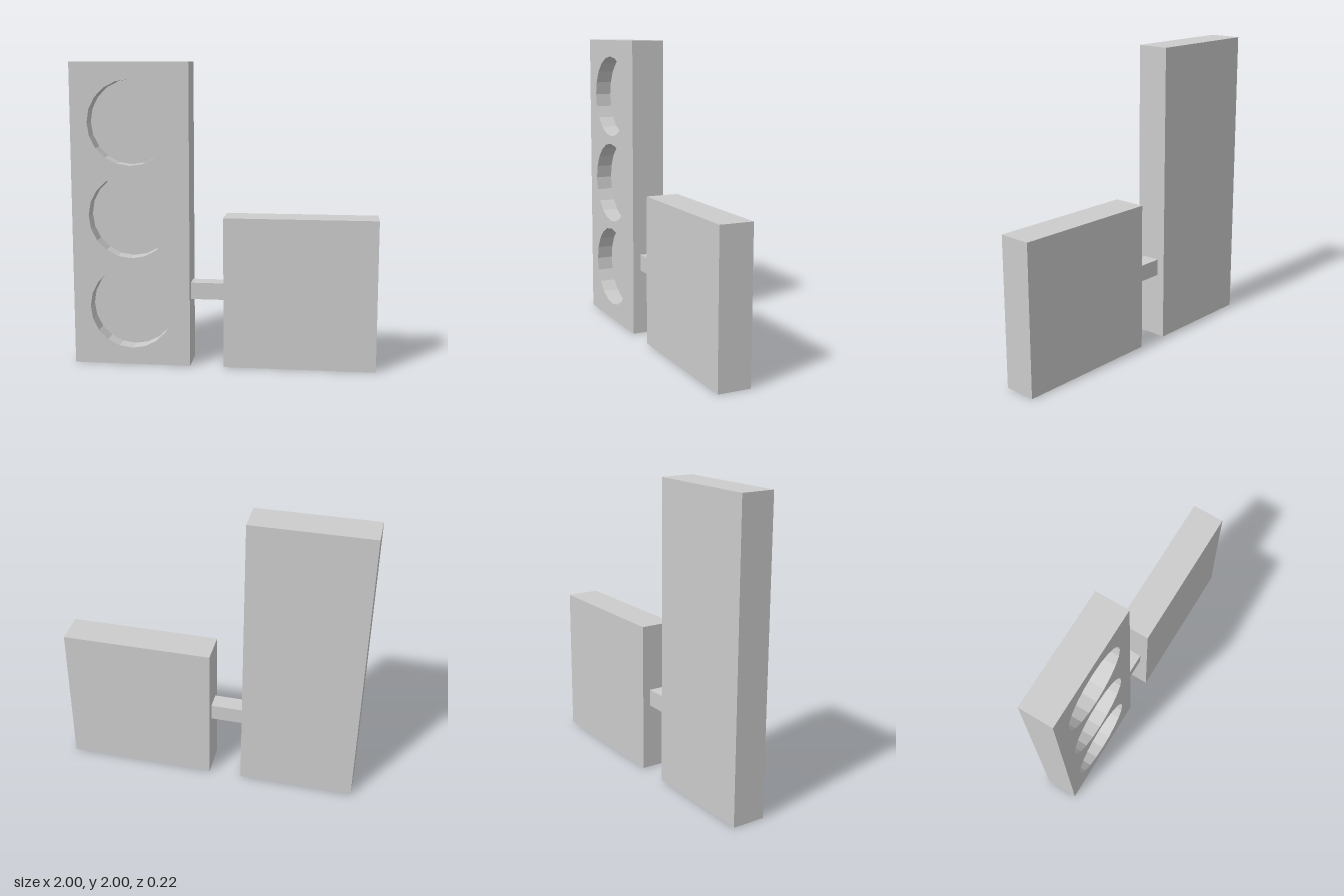
import * as THREE from 'three';

const DEPTH = 0.222;
const RECESS = 0.11;
const RADIUS = 0.278;
const SIDES = 20;

const grey = (side = THREE.FrontSide) =>
  new THREE.MeshStandardMaterial({ color: 0xcccccc, flatShading: true, side });

function addMesh(parent, name, geometry, x, y, z, material = grey()) {
  const mesh = new THREE.Mesh(geometry, material);
  mesh.name = name;
  mesh.position.set(x, y, z);
  parent.add(mesh);
  return mesh;
}

// Tall slab with three round recesses in its front
function createTallPanel() {
  const panel = new THREE.Group();
  panel.name = 'tallPanel';
  const w = 0.778, h = 2, front = DEPTH / 2;
  const holeHeights = [-0.61, 0, 0.61];

  // Box without its front side
  const shell = new THREE.BoxGeometry(w, h, DEPTH);
  const index = Array.from(shell.index.array);
  index.splice(24, 6);
  shell.setIndex(index);
  shell.clearGroups();
  addMesh(panel, 'panelShell', shell, 0, 0, 0);

  // Front side pierced by the circles
  const face = new THREE.Shape([
    new THREE.Vector2(-w / 2, -h / 2), new THREE.Vector2(w / 2, -h / 2),
    new THREE.Vector2(w / 2, h / 2), new THREE.Vector2(-w / 2, h / 2),
  ]);
  for (const y of holeHeights) {
    face.holes.push(new THREE.Path().absarc(0, y, RADIUS, 0, Math.PI * 2, true));
  }
  addMesh(panel, 'panelFront', new THREE.ShapeGeometry(face, SIDES / 2), 0, 0, front);

  // Wall and floor of each recess
  for (const y of holeHeights) {
    const wall = new THREE.CylinderGeometry(RADIUS, RADIUS, RECESS, SIDES, 1, true).rotateX(Math.PI / 2);
    addMesh(panel, 'recessWall', wall, 0, y, front - RECESS / 2, grey(THREE.BackSide));
    addMesh(panel, 'recessFloor', new THREE.CircleGeometry(RADIUS, SIDES), 0, y, front - RECESS);
  }
  panel.position.set(-0.611, 1, 0);
  return panel;
}

export function createModel() {
  const model = new THREE.Group();
  model.name = 'model';
  model.add(createTallPanel());
  // Square slab and the bar joining it to the tall panel
  addMesh(model, 'squarePanel', new THREE.BoxGeometry(1, 1, DEPTH), 0.5, 0.5, 0);
  addMesh(model, 'connectingBar', new THREE.BoxGeometry(0.222, 0.111, 0.116), -0.111, 0.5, 0);
  return model;
}
